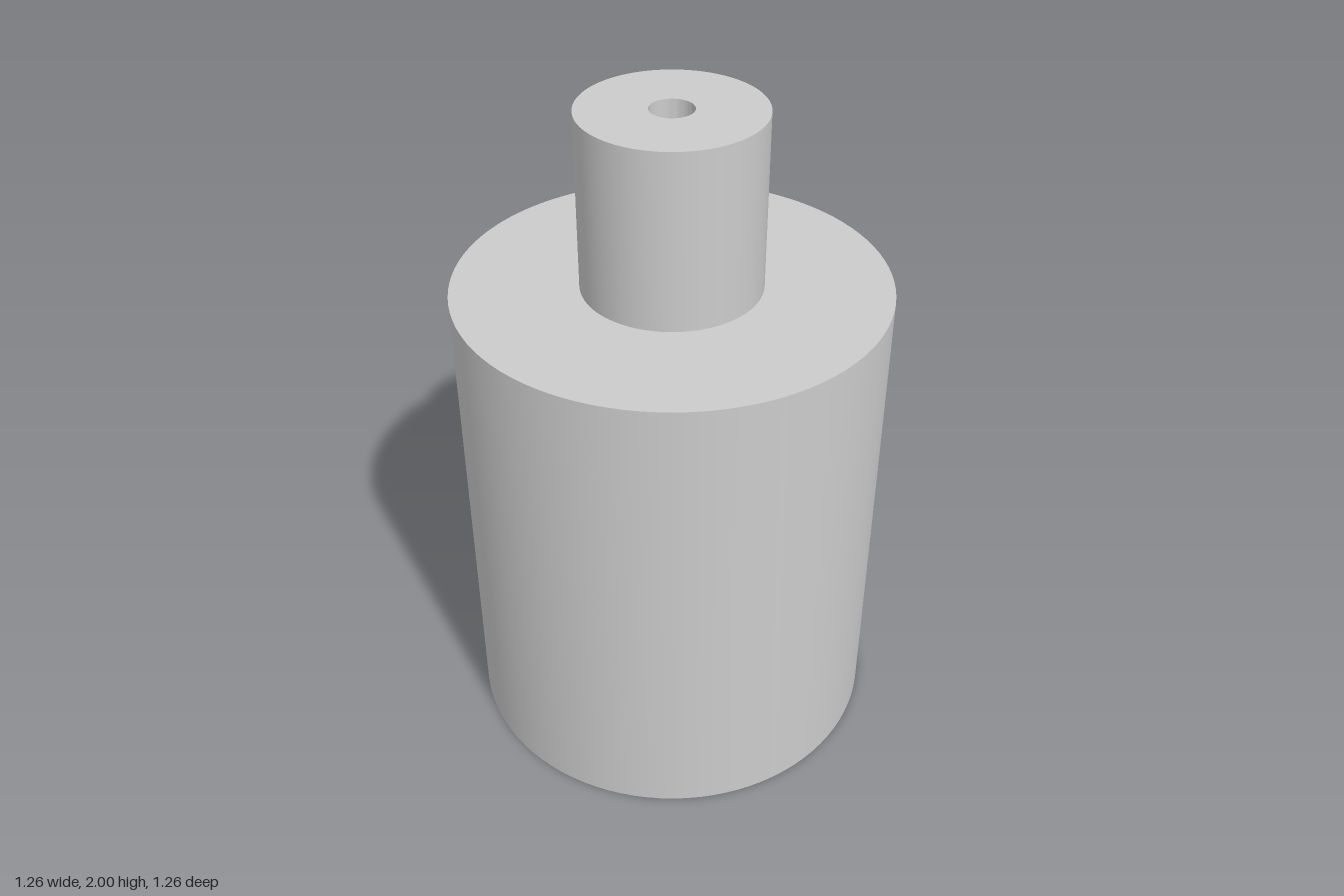
import * as THREE from 'three';
import { toCreasedNormals } from 'three/addons/utils/BufferGeometryUtils.js';

const SEGMENTS = 96;
const BODY_R = 0.632, NECK_R = 0.263, BORE_R = 0.063;
const SHOULDER_Y = 1.474, TOP_Y = 2;

const material = new THREE.MeshStandardMaterial({ color: 0xcccccc });

// Revolves a profile of [radius, height] points, keeping its corners sharp.
function turned(name, profile) {
  const points = profile.map(([r, y]) => new THREE.Vector2(r, y));
  const geometry = toCreasedNormals(new THREE.LatheGeometry(points, SEGMENTS), Math.PI / 6);
  const mesh = new THREE.Mesh(geometry, material);
  mesh.name = name;
  return mesh;
}

export function createModel() {
  const group = new THREE.Group();
  group.name = 'steppedCylinder';
  group.add(
    // Closed base, wide wall and flat shoulder
    turned('body', [[0, 0], [BODY_R, 0], [BODY_R, SHOULDER_Y], [NECK_R, SHOULDER_Y]]),
    // Narrow neck with its top ring
    turned('neck', [[NECK_R, SHOULDER_Y], [NECK_R, TOP_Y], [BORE_R, TOP_Y]]),
    // Blind hole down through the neck
    turned('bore', [[BORE_R, TOP_Y], [BORE_R, SHOULDER_Y], [0, SHOULDER_Y]]),
  );
  return group;
}
